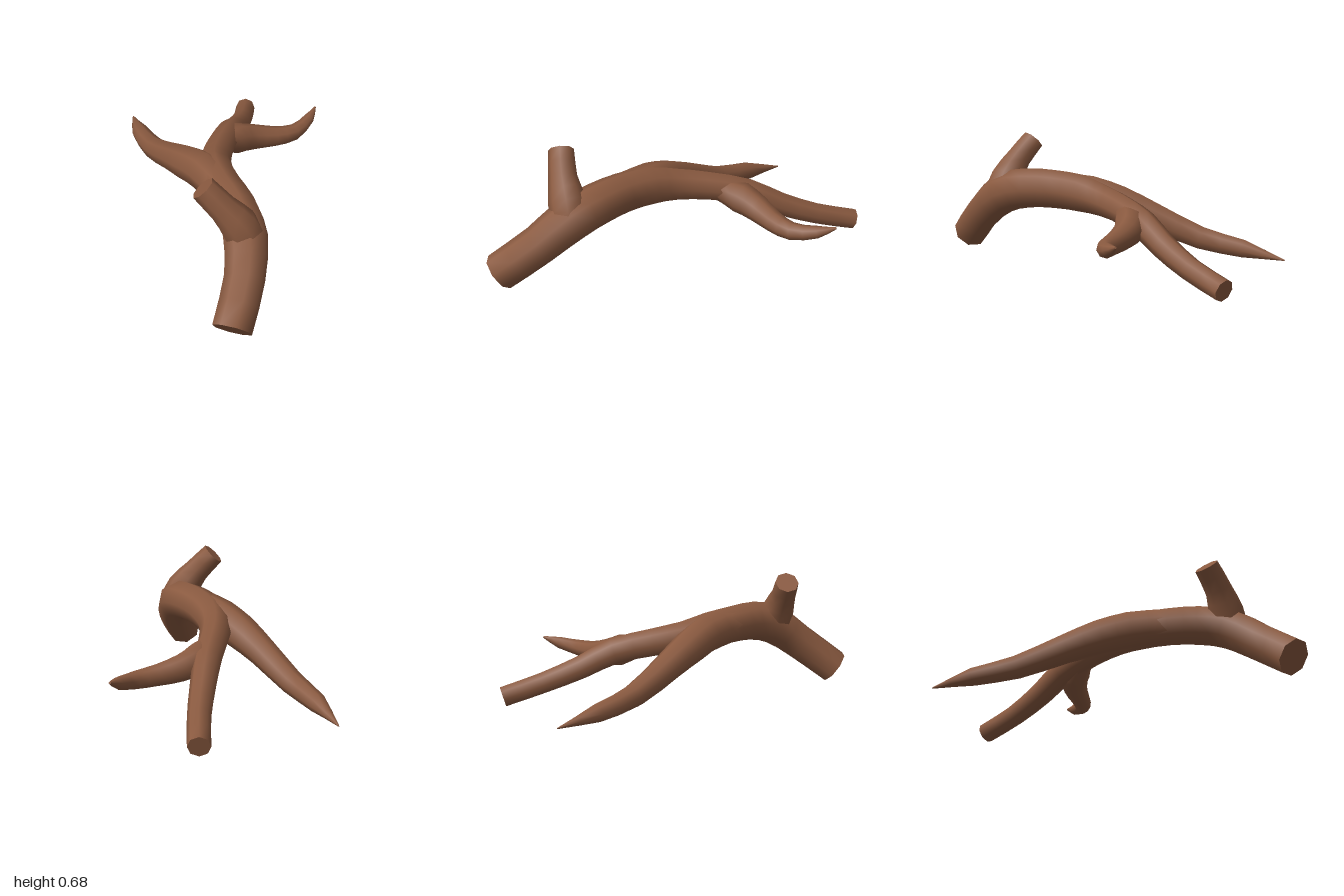
import * as THREE from 'three';

const SIDES = 8;

// Sweeps an eight-sided limb through points [x, y, z, radius]
function limbGeometry(points, steps) {
  const curve = new THREE.CatmullRomCurve3(points.map(p => new THREE.Vector3(p[0], p[1], p[2])), false, 'centripetal');
  const last = points.length - 1;
  const count = last * steps;
  const pos = [], idx = [], rings = [];
  const normal = new THREE.Vector3(0.3, 1, 0.1);
  for (let i = 0; i <= count; i++) {
    const t = i / count;
    const centre = curve.getPoint(t);
    const tangent = curve.getTangent(t);
    normal.addScaledVector(tangent, -normal.dot(tangent)).normalize();
    const side = tangent.clone().cross(normal);
    const k = Math.min(Math.floor(t * last), last - 1);
    const r = THREE.MathUtils.lerp(points[k][3], points[k + 1][3], t * last - k);
    const ring = [];
    for (let j = 0; j < SIDES; j++) {
      const a = (j / SIDES) * Math.PI * 2;
      const v = centre.clone().addScaledVector(normal, Math.cos(a) * r).addScaledVector(side, Math.sin(a) * r);
      ring.push(v);
      pos.push(v.x, v.y, v.z);
    }
    rings.push({ centre, ring });
  }
  for (let i = 0; i < count; i++) {
    for (let j = 0; j < SIDES; j++) {
      const a = i * SIDES + j, b = i * SIDES + (j + 1) % SIDES;
      idx.push(a, b, b + SIDES, a, b + SIDES, a + SIDES);
    }
  }
  // Flat sawn ends with their own vertices, so the rims stay crisp
  for (const end of [0, count]) {
    const base = pos.length / 3;
    const { centre, ring } = rings[end];
    [centre, ...ring].forEach(v => pos.push(v.x, v.y, v.z));
    for (let j = 0; j < SIDES; j++) {
      const a = base + 1 + j, b = base + 1 + (j + 1) % SIDES;
      if (end) idx.push(base, a, b);
      else idx.push(base, b, a);
    }
  }
  const geo = new THREE.BufferGeometry();
  geo.setAttribute('position', new THREE.Float32BufferAttribute(pos, 3));
  geo.setIndex(idx);
  geo.computeVertexNormals();
  return geo;
}

export function createModel() {
  const group = new THREE.Group();
  group.name = 'branch';
  const bark = new THREE.MeshStandardMaterial({ color: 0x8a5a40 });
  bark.name = 'bark brown';

  const limbs = {
    // Thick limb from the sawn front end to the sawn back end
    mainLimb: [
      [0.447, 0.09, 0.94, 0.1], [0.457, 0.245, 0.73, 0.103], [0.42, 0.365, 0.56, 0.114],
      [0.345, 0.403, 0.42, 0.11], [0.25, 0.405, 0.29, 0.106], [0.165, 0.393, 0.14, 0.103],
      [0.125, 0.37, 0, 0.088], [0.115, 0.345, -0.17, 0.079], [0.12, 0.3, -0.38, 0.074],
      [0.12, 0.215, -0.56, 0.066], [0.11, 0.135, -0.77, 0.059], [0.08, 0.07, -0.99, 0.057],
    ],
    // Long pointed fork sweeping down to the right
    longFork: [
      [0.25, 0.405, 0.29, 0.1], [0.11, 0.385, 0.13, 0.105], [-0.01, 0.34, 0.02, 0.097],
      [-0.14, 0.27, -0.11, 0.08], [-0.31, 0.168, -0.3, 0.064], [-0.45, 0.125, -0.49, 0.05],
      [-0.56, 0.085, -0.695, 0.003],
    ],
    // Small twig curling up on the left
    sideTwig: [
      [0.12, 0.335, -0.22, 0.06], [0.17, 0.295, -0.34, 0.085], [0.25, 0.265, -0.42, 0.072],
      [0.36, 0.245, -0.485, 0.057], [0.46, 0.24, -0.56, 0.047], [0.52, 0.262, -0.68, 0.033],
      [0.542, 0.292, -0.77, 0.006],
    ],
    // Short sawn-off stub rising near the front
    stub: [
      [0.43, 0.36, 0.57, 0.1], [0.385, 0.45, 0.58, 0.096], [0.31, 0.545, 0.595, 0.073],
      [0.21, 0.647, 0.597, 0.066],
    ],
  };
  for (const [name, points] of Object.entries(limbs)) {
    const mesh = new THREE.Mesh(limbGeometry(points, 2), bark);
    mesh.name = name;
    group.add(mesh);
  }
  return group;
}
